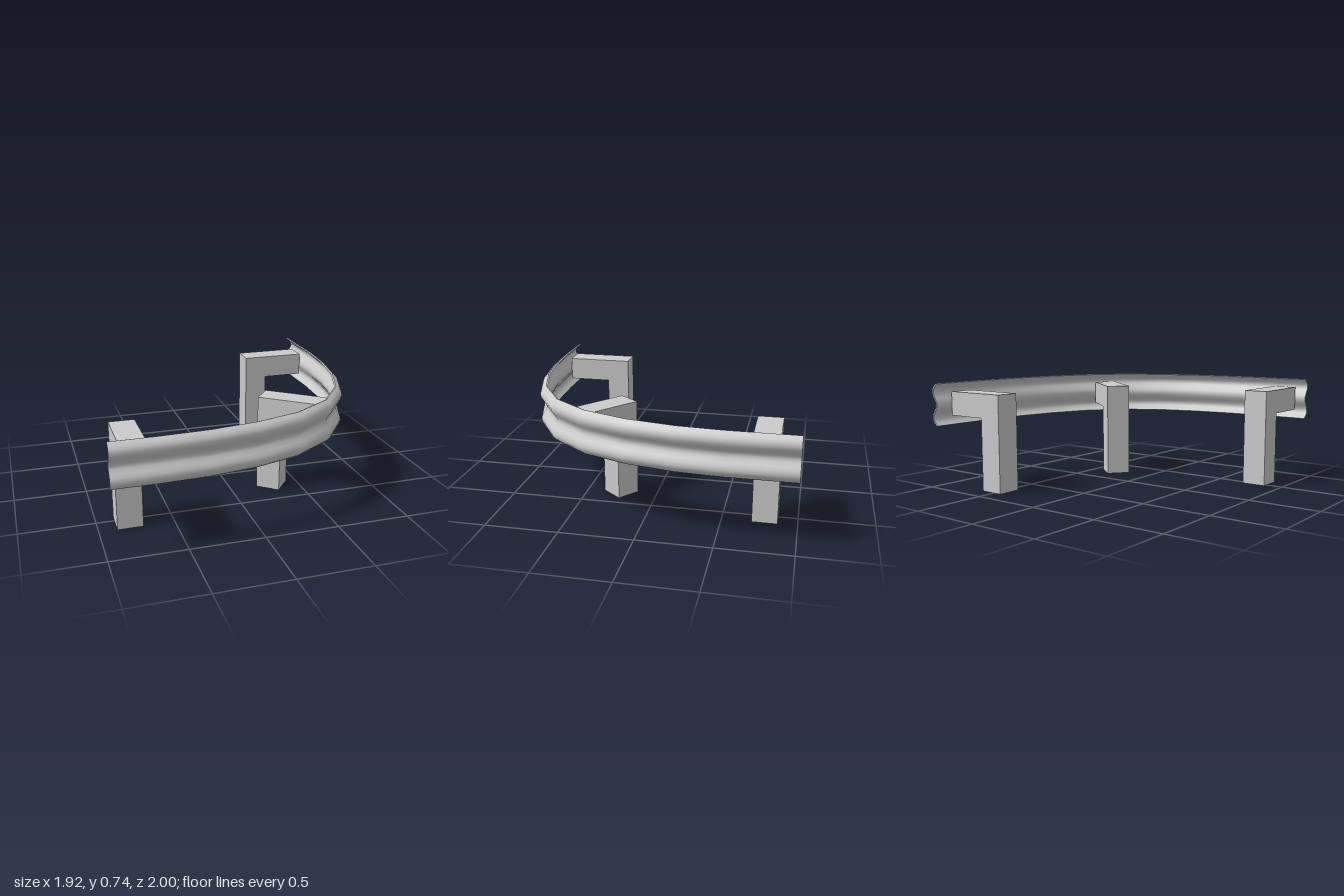
import * as THREE from 'three';

const material = new THREE.MeshStandardMaterial({ color: 0xcccccc, side: THREE.DoubleSide });

// Smooth surface through a grid of points (rows of equal length)
function loft(rows) {
  const n = rows[0].length, index = [];
  for (let i = 0; i < rows.length - 1; i++) {
    for (let j = 0; j < n - 1; j++) {
      const a = i * n + j, b = a + 1, c = a + n, d = c + 1;
      index.push(a, b, c, b, d, c);
    }
  }
  const geometry = new THREE.BufferGeometry().setFromPoints(rows.flat());
  geometry.setIndex(index);
  geometry.computeVertexNormals();
  return geometry;
}

// Inner edge of the rail in plan, as [x, z]
const path = [
  [-0.96, 0.94], [-0.66, 0.94], [-0.34, 0.925], [-0.03, 0.88], [0.27, 0.79], [0.535, 0.62],
  [0.715, 0.38], [0.825, 0.08], [0.885, -0.24], [0.905, -0.54], [0.905, -1],
].map(([x, z]) => new THREE.Vector3(x, 0, z));

// Wavy section as [depth, height above the middle], top to valley, then mirrored
const MID = 0.593, THICK = 0.011;
const mirror = (half) => [...half, ...half.slice(0, -1).reverse().map(([d, y]) => [d, -y])];
const outerProfile = mirror([[0.011, 0.151], [0.033, 0.134], [0.049, 0.115], [0.055, 0.092],
  [0.05, 0.067], [0.034, 0.043], [0.019, 0.02], [0.013, 0]]);
const innerProfile = mirror([[0, 0.147], [0.025, 0.126], [0.039, 0.108], [0.044, 0.091],
  [0.04, 0.073], [0.025, 0.05], [0.008, 0.024], [0.013 - THICK, 0]]);

// Outward direction at each path point
const outward = path.map((p, i) => {
  const before = path[Math.max(i - 1, 0)], after = path[Math.min(i + 1, path.length - 1)];
  const t = new THREE.Vector3();
  if (before !== p) t.add(p.clone().sub(before).normalize());
  if (after !== p) t.add(after.clone().sub(p).normalize());
  t.normalize();
  return new THREE.Vector3(-t.z, 0, t.x);
});

const section = (i, profile) => profile.map(([d, y]) => {
  const v = path[i].clone().addScaledVector(outward[i], d);
  v.y = MID + y;
  return v;
});

function createRail() {
  const rail = new THREE.Group();
  rail.name = 'rail';
  const add = (name, rows) => {
    const mesh = new THREE.Mesh(loft(rows), material);
    mesh.name = name;
    rail.add(mesh);
  };
  const outer = path.map((_, i) => section(i, outerProfile));
  const inner = path.map((_, i) => section(i, innerProfile));
  const last = path.length - 1, bottom = outerProfile.length - 1;
  add('railOuterFace', outer);
  add('railInnerFace', inner.map((row) => [...row].reverse()));
  add('railTopEdge', path.map((_, i) => [inner[i][0], outer[i][0]]));
  add('railBottomEdge', path.map((_, i) => [outer[i][bottom], inner[i][bottom]]));
  add('railStartEnd', [inner[0], outer[0]]);
  add('railFarEnd', [outer[last], inner[last]]);
  return rail;
}

// Square post with an arm of the same section reaching to the rail
function createBracket(name, x, z, angle, reach) {
  const W = 0.17, TOP = 0.68;
  const outline = new THREE.Shape([[0, 0], [W, 0], [W, TOP - W], [reach, TOP - W], [reach, TOP], [0, TOP]]
    .map(([a, b]) => new THREE.Vector2(a, b)));
  const geometry = new THREE.ExtrudeGeometry(outline, { depth: W, bevelEnabled: false });
  geometry.translate(0, 0, -W / 2).rotateY(-Math.PI / 2);
  const mesh = new THREE.Mesh(geometry, material);
  mesh.name = name;
  mesh.position.set(x, 0, z);
  mesh.rotation.y = angle;
  return mesh;
}

export function createModel() {
  const model = new THREE.Group();
  model.name = 'curvedGuardRail';
  model.add(
    createRail(),
    createBracket('frontPost', -0.795, 0.46, 0, 0.482),
    createBracket('cornerPost', 0.245, 0.205, 0.889, 0.48),
    createBracket('sidePost', 0.435, -0.785, Math.PI / 2, 0.472),
  );
  return model;
}
